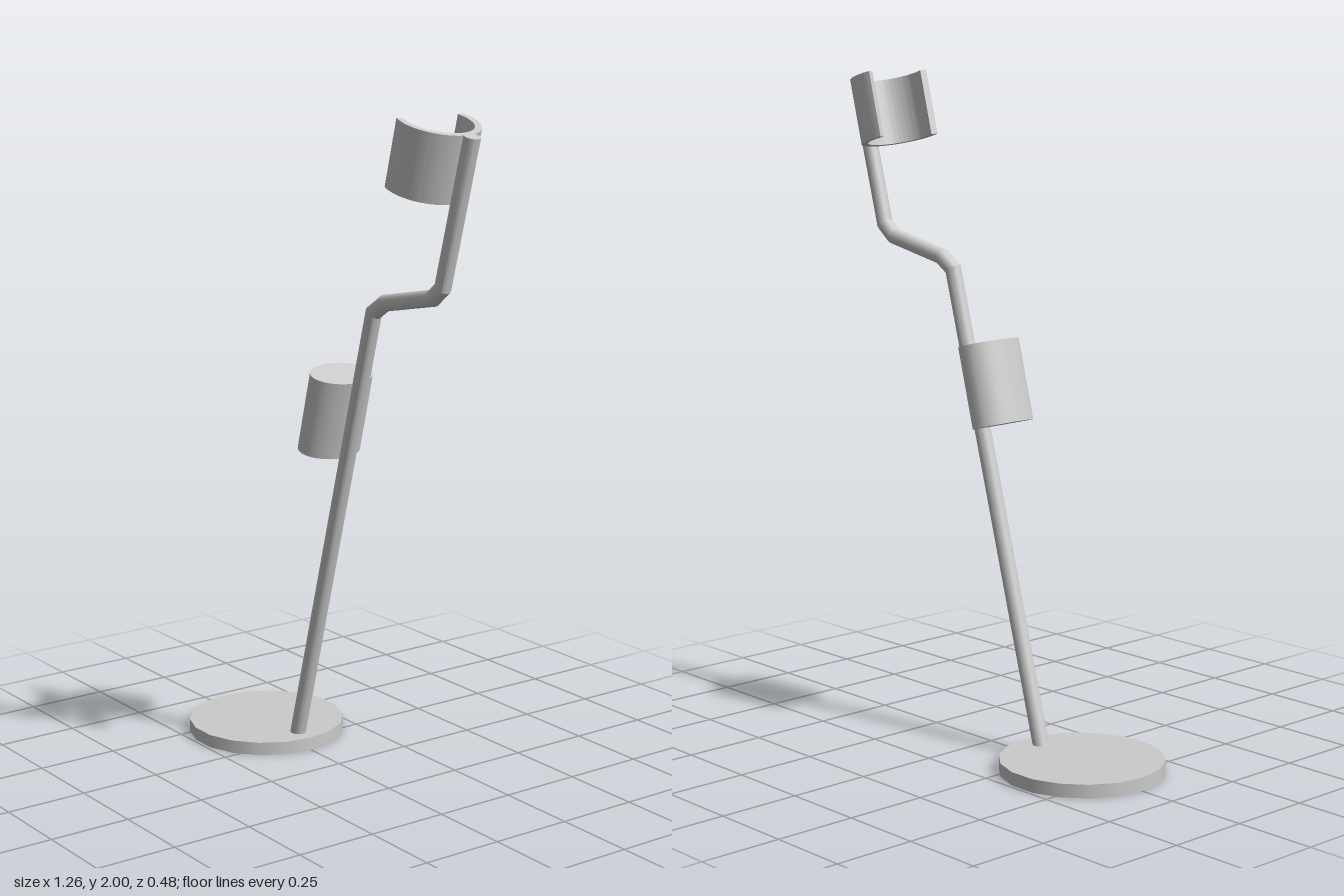
import * as THREE from 'three';
import { mergeVertices, toCreasedNormals } from 'three/addons/utils/BufferGeometryUtils.js';

const TILT = -Math.PI / 12;

// Round bar along a planar path, with mitred joints and closed ends
function bentBar(points, radius, sides) {
  const pos = [], index = [];
  const dirs = points.slice(1).map((p, i) => p.clone().sub(points[i]).normalize());
  points.forEach((p, i) => {
    const a = dirs[Math.max(i - 1, 0)], b = dirs[Math.min(i, dirs.length - 1)];
    const t = a.clone().add(b).normalize();
    const w = radius / t.dot(a);
    for (let j = 0; j < sides; j++) {
      const ang = (j / sides) * Math.PI * 2;
      const c = Math.cos(ang) * w;
      pos.push(p.x + t.y * c, p.y - t.x * c, Math.sin(ang) * radius);
    }
  });
  const last = (points.length - 1) * sides;
  for (let j = 0; j < sides; j++) {
    const k = (j + 1) % sides;
    for (let r = 0; r < last; r += sides) {
      index.push(r + j, r + sides + j, r + k, r + k, r + sides + j, r + sides + k);
    }
    if (j > 0 && k > 0) {
      index.push(0, j, k, last, last + k, last + j);
    }
  }
  const geo = new THREE.BufferGeometry();
  geo.setAttribute('position', new THREE.Float32BufferAttribute(pos, 3));
  geo.setIndex(index);
  return toCreasedNormals(mergeVertices(geo), 0.5);
}

// Open C-shaped band, its gap facing -x, centred on its own height
function openBand(outer, inner, halfAngle, height) {
  const shape = new THREE.Shape();
  shape.absarc(0, 0, outer, -halfAngle, halfAngle, false);
  shape.absarc(0, 0, inner, halfAngle, -halfAngle, true);
  shape.closePath();
  const geo = new THREE.ExtrudeGeometry(shape, { depth: height, bevelEnabled: false, curveSegments: 28 });
  geo.translate(0, 0, -height / 2);
  geo.rotateX(-Math.PI / 2);
  return toCreasedNormals(geo, 0.5);
}

export function createModel() {
  const model = new THREE.Group();
  const material = new THREE.MeshStandardMaterial({ color: 0xcccccc });
  const add = (name, geometry, x, y, tilt = 0) => {
    const mesh = new THREE.Mesh(geometry, material);
    mesh.name = name;
    mesh.position.set(x, y, 0);
    mesh.rotation.z = tilt;
    model.add(mesh);
    return mesh;
  };

  // Round foot plate
  add('base', new THREE.CylinderGeometry(0.243, 0.243, 0.04, 18, 1, false, Math.PI / 2), -0.39, 0.02);

  // Leaning pole with an offset upper section
  const path = [
    [-0.222, 0.02], [0.167, 1.418], [0.22, 1.453],
    [0.439, 1.498], [0.481, 1.532], [0.6, 1.957],
  ].map(([x, y]) => new THREE.Vector2(x, y));
  add('pole', bentBar(path, 0.024, 16), 0, 0);

  // Oval grip beside the pole
  const grip = add('grip', new THREE.CylinderGeometry(1, 1, 0.244, 32), -0.02, 1.097, TILT);
  grip.scale.set(0.071, 1, 0.103);

  // Open arm cuff at the top
  add('cuff', openBand(0.12, 0.1, THREE.MathUtils.degToRad(110), 0.198), 0.429, 1.892, TILT);

  return model;
}
